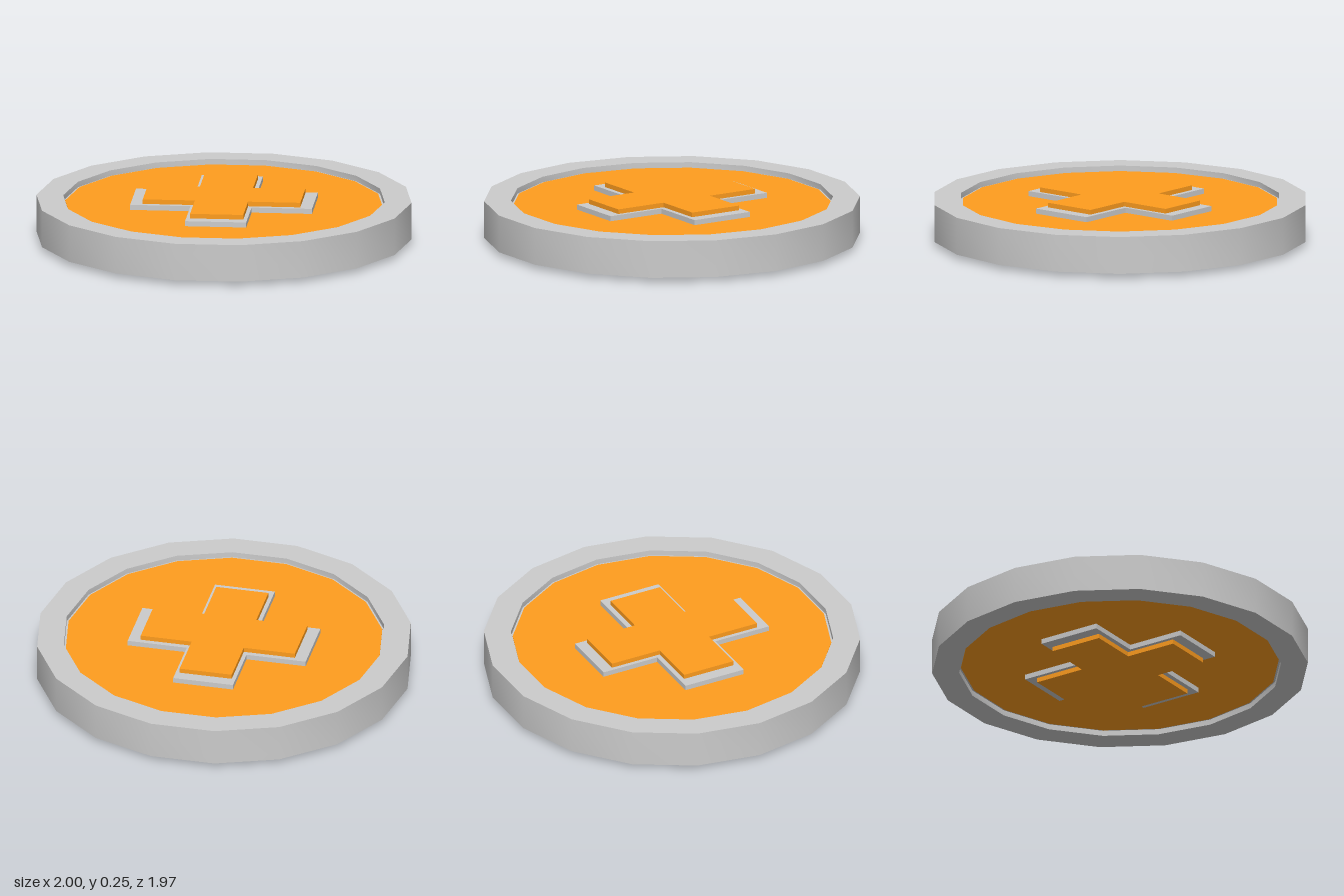
import * as THREE from 'three';
import { toCreasedNormals } from 'three/addons/utils/BufferGeometryUtils.js';

const SIDES = 18;
const MID = 0.125; // height of the disc's mid plane

const grey = new THREE.MeshStandardMaterial({ color: 0xcccccc });
const orange = new THREE.MeshStandardMaterial({ color: 0xff9d1e });

// Plus-shaped slab centred on the mid plane, so it stands out on both faces
function crossSlab(name, material, reachX, reachZ, armX, armZ, height) {
  const corners = [
    [armX, reachZ], [armX, armZ], [reachX, armZ],
    [reachX, -armZ], [armX, -armZ], [armX, -reachZ],
    [-armX, -reachZ], [-armX, -armZ], [-reachX, -armZ],
    [-reachX, armZ], [-armX, armZ], [-armX, reachZ],
  ];
  const shape = new THREE.Shape(corners.map(([x, z]) => new THREE.Vector2(x, z)));
  const geometry = new THREE.ExtrudeGeometry(shape, { depth: height, bevelEnabled: false });
  geometry.translate(0, 0, -height / 2).rotateX(-Math.PI / 2);
  const mesh = new THREE.Mesh(geometry, material);
  mesh.name = name;
  mesh.position.y = MID;
  return mesh;
}

export function createModel() {
  const model = new THREE.Group();
  model.name = 'medallion';

  // Body: raised rim around a recessed web, the same on both faces
  const profile = [
    [0, -0.07], [0.857, -0.07], [0.857, -0.1], [1, -0.1],
    [1, 0.1], [0.857, 0.1], [0.857, 0.07], [0, 0.07],
  ].map(([r, y]) => new THREE.Vector2(r, y));
  const bodyGeometry = new THREE.LatheGeometry(profile, SIDES, Math.PI / 2);
  const rim = new THREE.Mesh(toCreasedNormals(bodyGeometry, 0.6), grey);
  rim.name = 'rim';
  rim.position.y = MID;
  model.add(rim);

  // Coloured panel filling the recess, with a thin grey ledge left around it
  const panel = new THREE.Mesh(
    new THREE.CylinderGeometry(0.847, 0.847, 0.145, SIDES, 1, false, Math.PI / 2),
    orange
  );
  panel.name = 'facePanel';
  panel.position.y = MID;
  model.add(panel);

  // Stepped cross: wide grey base and a smaller coloured cross on top
  model.add(crossSlab('crossBase', grey, 0.485, 0.497, 0.163, 0.175, 0.2));
  model.add(crossSlab('crossInlay', orange, 0.42, 0.435, 0.142, 0.148, 0.25));

  return model;
}
